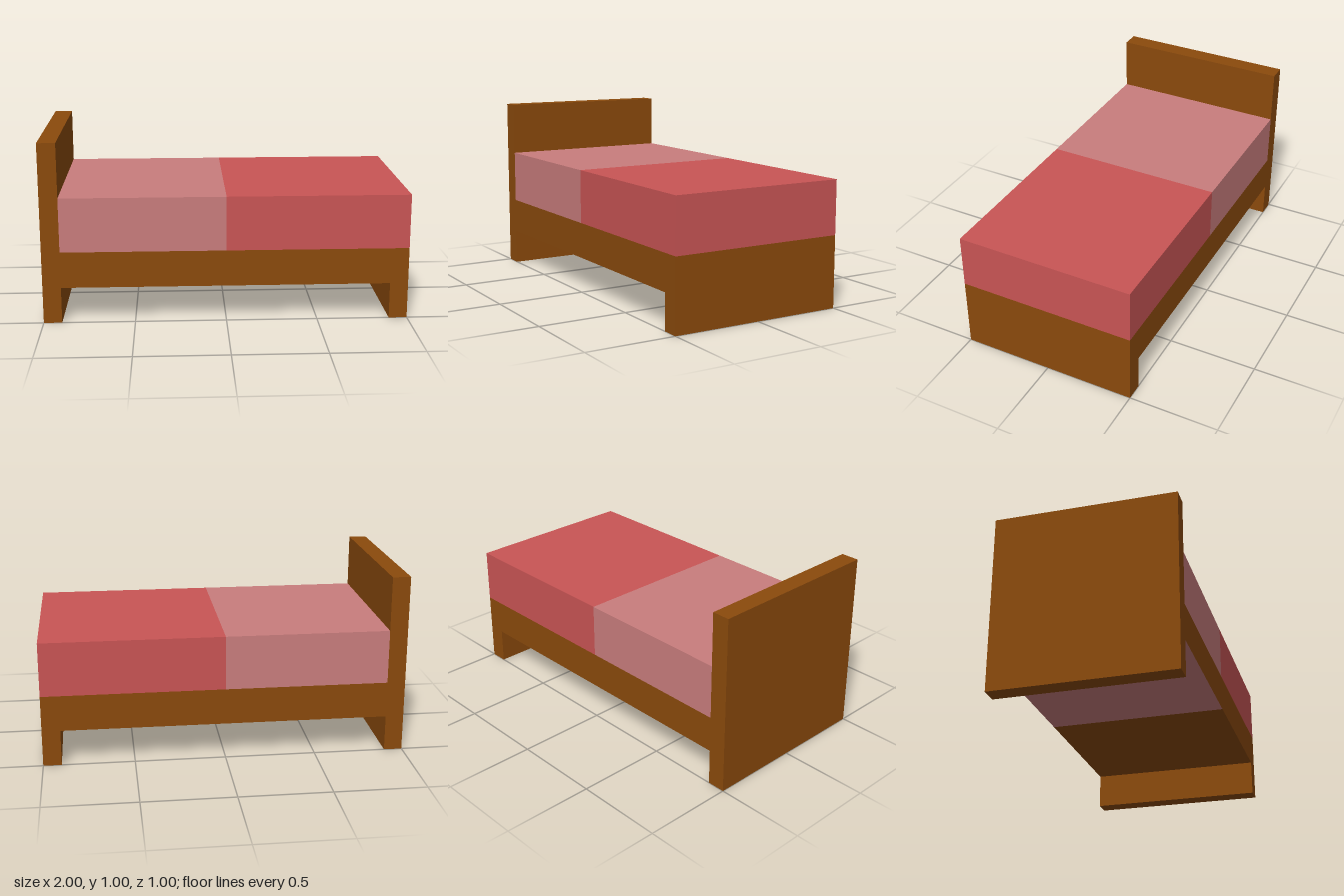
import * as THREE from 'three';

const material = (name, color) => {
  const m = new THREE.MeshStandardMaterial({ color });
  m.name = name;
  return m;
};

export function createModel() {
  const wood = material('brown wood', 0x8b4a0c);
  const blanketRed = material('red blanket', 0xc95555);
  const sheetPink = material('pink sheet', 0xc97d7d);

  const bed = new THREE.Group();
  bed.name = 'bed';

  // Full-width box spanning x0..x1 and y0..y1
  const slab = (name, x0, x1, y0, y1, mat) => {
    const mesh = new THREE.Mesh(new THREE.BoxGeometry(x1 - x0, y1 - y0, 1), mat);
    mesh.position.set((x0 + x1) / 2, (y0 + y1) / 2, 0);
    mesh.name = name;
    bed.add(mesh);
  };

  // Wooden parts
  slab('headboard', -1, -0.9, 0, 1, wood);
  slab('footLeg', 0.9, 1, 0, 0.2, wood);
  slab('footFrame', 0, 1, 0.2, 0.4, wood);
  // The head half of the frame has a pink underside (face order: +x -x +y -y +z -z)
  slab('headFrame', -0.9, 0, 0.2, 0.4, [wood, wood, wood, sheetPink, wood, wood]);

  // Bedding
  slab('sheet', -0.9, 0, 0.4, 0.7, sheetPink);
  slab('blanket', 0, 1, 0.4, 0.7, blanketRed);

  return bed;
}
